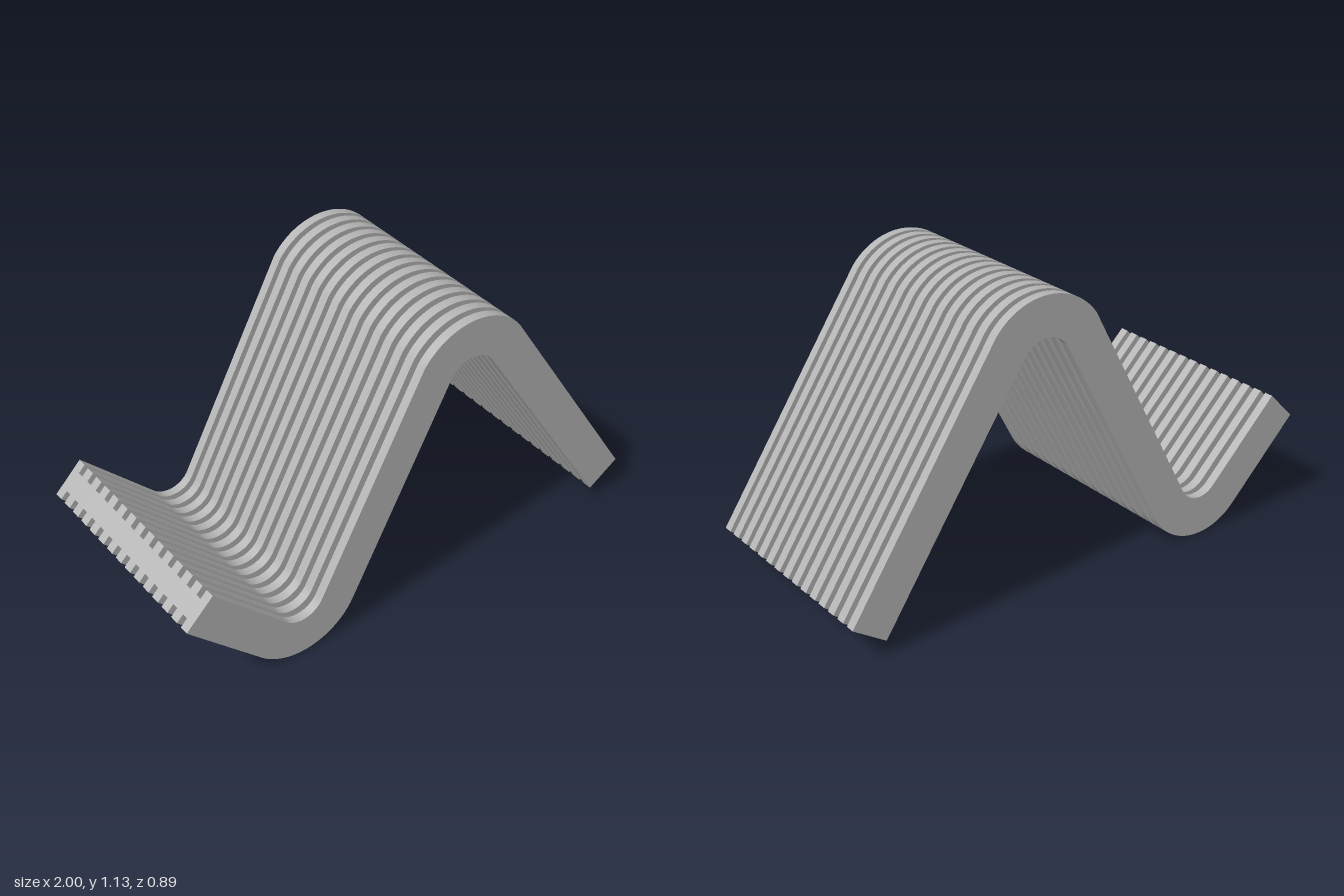
import * as THREE from 'three';
import { toCreasedNormals } from 'three/addons/utils/BufferGeometryUtils.js';

const HALF = 0.077;      // half thickness at the ribs
const GROOVE = 0.037;    // groove depth
const RIBS = 15, PITCH = 0.0608, RIB_WIDTH = 0.0366;
const ARC_STEPS = 24;
const rad = THREE.MathUtils.degToRad;

// Closed cross-section [z, offset]: ribs and grooves on both faces
function ribbedProfile() {
  const top = [];
  const start = -((RIBS - 1) * PITCH + RIB_WIDTH) / 2;
  for (let k = 0; k < RIBS; k++) {
    const a = start + k * PITCH, b = a + RIB_WIDTH, c = a + PITCH;
    top.push([a, HALF], [b, HALF]);
    if (k < RIBS - 1) top.push([b, HALF - GROOVE], [c, HALF - GROOVE]);
  }
  return [...top, ...top.map(([z, u]) => [z, -u]).reverse()];
}

// Stations along the wave: centre (x, y) and unit normal of the upper face
function waveStations() {
  const list = [];
  const add = (x, y, nx, ny) => list.push({ x, y, nx, ny });
  const arc = (cx, cy, r, from, to, sign) => {
    for (let i = 0; i <= ARC_STEPS; i++) {
      const a = rad(from + (to - from) * i / ARC_STEPS);
      add(cx + r * Math.sin(a), cy + sign * r * Math.cos(a), sign * Math.sin(a), Math.cos(a));
    }
  };
  add(-0.945, 0.424, Math.SQRT1_2, Math.SQRT1_2);         // left end
  arc(-0.532, 0.25, 0.25 - HALF, -45, 61.5, -1);          // valley
  arc(0.205, 0.865, 0.265 - HALF, -54, 52, 1);            // crest
  const e = rad(56.8);
  add(0.936, 0.0925, Math.sin(e), Math.cos(e));           // right end
  return list;
}

function sweep(profile, stations) {
  const n = profile.length, pos = [], index = [];
  for (const s of stations)
    for (const [z, u] of profile) pos.push(s.x + s.nx * u, s.y + s.ny * u, z);
  const quad = (a, b, c, d) => index.push(a, b, c, a, c, d);
  // Ribbed skin
  for (let s = 0; s < stations.length - 1; s++)
    for (let i = 0; i < n; i++) {
      const j = (i + 1) % n, a = s * n, b = a + n;
      quad(a + i, a + j, b + j, b + i);
    }
  // End caps, one quad per rib or groove
  const last = (stations.length - 1) * n;
  for (let i = 0; i < n / 2; i += 2) {
    const p = [i, i + 1, n - 2 - i, n - 1 - i];
    quad(...p.map(v => last + v));
    quad(...p.reverse());
  }
  const g = new THREE.BufferGeometry();
  g.setAttribute('position', new THREE.Float32BufferAttribute(pos, 3));
  g.setIndex(index);
  return toCreasedNormals(g, 0.5);
}

export function createModel() {
  const group = new THREE.Group();
  group.name = 'ribbedWave';
  const grey = new THREE.MeshStandardMaterial({ color: 0xb4b4b4 });
  grey.name = 'grey';
  const sheet = new THREE.Mesh(sweep(ribbedProfile(), waveStations()), grey);
  sheet.name = 'ribbedSheet';
  group.add(sheet);
  return group;
}
